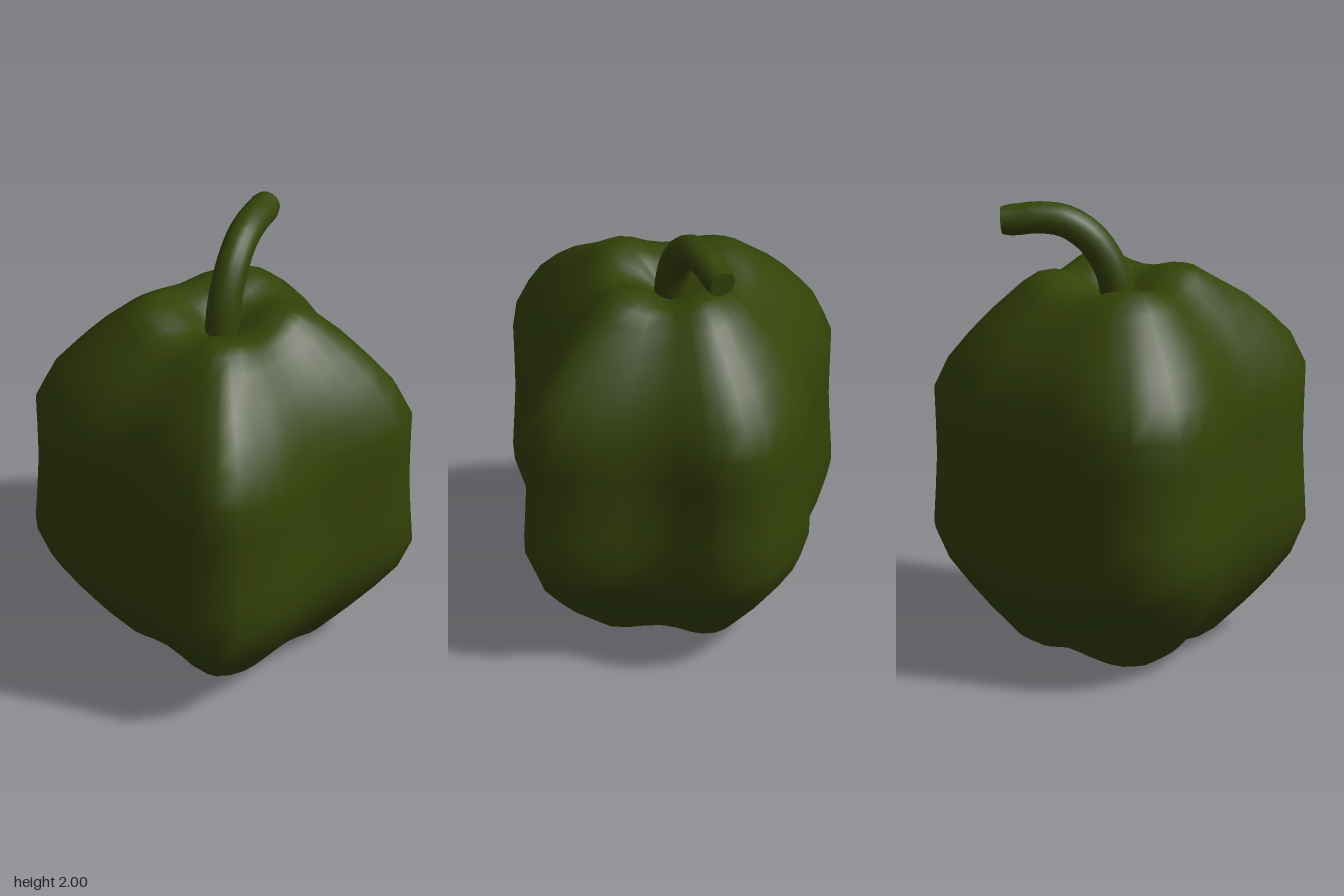
import * as THREE from 'three';
import { mergeVertices } from 'three/addons/utils/BufferGeometryUtils.js';

// Four-lobed outline of the pepper at its widest, as [x, z]
const OUTLINE = [
  [0.3, 0.79], [0.39, 0.73], [0.46, 0.62], [0.505, 0.51], [0.53, 0.4], [0.555, 0.28], [0.59, 0.17],
  [0.65, 0.07], [0.73, -0.04],
  [0.78, -0.15], [0.785, -0.25], [0.72, -0.34], [0.6, -0.42], [0.47, -0.47], [0.35, -0.52], [0.26, -0.6],
  [0.18, -0.7], [0.1, -0.76], [0, -0.79], [-0.1, -0.775], [-0.2, -0.72], [-0.3, -0.65],
  [-0.38, -0.56], [-0.48, -0.37], [-0.64, -0.2], [-0.71, -0.1], [-0.76, 0], [-0.785, 0.12],
  [-0.77, 0.23], [-0.72, 0.33], [-0.63, 0.41], [-0.52, 0.47], [-0.41, 0.5], [-0.3, 0.515],
  [-0.18, 0.545], [-0.06, 0.63], [0.06, 0.72], [0.2, 0.78],
];

// Lobe section from bottom dimple to top dimple: [radius, height, inward sink in the valleys]
const PROFILE = [
  [0, 0.12, 0], [0.08, 0.09, 0.01], [0.15, 0.05, 0.03], [0.21, 0.02, 0.045], [0.285, 0.005, 0.05],
  [0.35, 0.018, 0.05], [0.42, 0.055, 0.04], [0.55, 0.19, 0.02], [0.64, 0.295, 0.01],
  [0.73, 0.41, 0], [0.79, 0.545, 0], [0.783, 0.7, 0], [0.778, 0.85, 0], [0.783, 1, 0],
  [0.79, 1.155, 0], [0.73, 1.29, 0], [0.64, 1.405, -0.01], [0.55, 1.505, -0.02],
  [0.42, 1.63, -0.04], [0.35, 1.68, -0.05], [0.285, 1.695, -0.05], [0.21, 1.68, -0.045],
  [0.15, 1.65, -0.03], [0.08, 1.59, -0.01], [0, 1.56, 0],
];

function bodyGeometry() {
  const n = OUTLINE.length;
  const pos = [], index = [];
  for (const [r, y, sink] of PROFILE) {
    // The section grows rounder towards both ends
    const round = 0.6 * (1 - Math.min(1, r / 0.778) ** 2);
    const shoulder = THREE.MathUtils.clamp((r - 0.42) / 0.37, 0, 1);
    for (const [x, z] of OUTLINE) {
      const len = Math.hypot(x, z);
      const valley = THREE.MathUtils.clamp((0.79 - len) / 0.2, 0, 1);
      // Larger lobes have fuller shoulders
      const full = 1 + 3 * Math.max(0, len - 0.79) * shoulder;
      const s = r * THREE.MathUtils.lerp(1 / 0.79, 1 / len, round);
      pos.push(x * s, 0.85 + (y - 0.85) * full + sink * valley, z * s);
    }
  }
  for (let i = 0; i < PROFILE.length - 1; i++) {
    for (let j = 0; j < n; j++) {
      const a = i * n + j, b = i * n + (j + 1) % n;
      index.push(a, b, b + n, a, b + n, a + n);
    }
  }
  const geo = new THREE.BufferGeometry();
  geo.setAttribute('position', new THREE.Float32BufferAttribute(pos, 3));
  geo.setIndex(index);
  const merged = mergeVertices(geo, 1e-4);
  merged.computeVertexNormals();
  return merged;
}

// Curved stem, bending to the back and tapering slightly, with a bevelled end
function stemGeometry() {
  const centre = [[0.01, 1.5], [0, 1.6], [-0.02, 1.69], [-0.07, 1.79], [-0.13, 1.86],
    [-0.23, 1.92], [-0.35, 1.931], [-0.43, 1.92], [-0.5, 1.914]];
  const path = new THREE.CatmullRomCurve3(centre.map(([z, y]) => new THREE.Vector3(0.004, y, z)));
  const rows = 20, sides = 16;
  const geo = new THREE.TubeGeometry(path, rows, 1, sides, false);
  const p = geo.attributes.position, v = new THREE.Vector3();
  for (let i = 0; i <= rows; i++) {
    const c = path.getPointAt(i / rows);
    const radius = i === rows ? 0.06 : 0.076 - 0.008 * i / rows;
    for (let j = 0; j <= sides; j++) {
      const k = i * (sides + 1) + j;
      v.fromBufferAttribute(p, k).sub(c).multiplyScalar(radius).add(c);
      p.setXYZ(k, v.x, v.y, v.z);
    }
  }
  return { geo, end: path.getPointAt(1), dir: path.getTangentAt(1) };
}

export function createModel() {
  const green = new THREE.MeshStandardMaterial({ color: 0x354208 });
  green.name = 'dark green';
  const group = new THREE.Group();
  group.name = 'pepper';

  const body = new THREE.Mesh(bodyGeometry(), green);
  body.name = 'body';
  group.add(body);

  const { geo, end, dir } = stemGeometry();
  const stem = new THREE.Mesh(geo, green);
  stem.name = 'stem';
  group.add(stem);

  // Cut face at the tip of the stem
  const cap = new THREE.Mesh(new THREE.CircleGeometry(0.06, 16), green);
  cap.name = 'stemEnd';
  cap.position.copy(end);
  cap.quaternion.setFromUnitVectors(new THREE.Vector3(0, 0, 1), dir);
  group.add(cap);
  return group;
}
